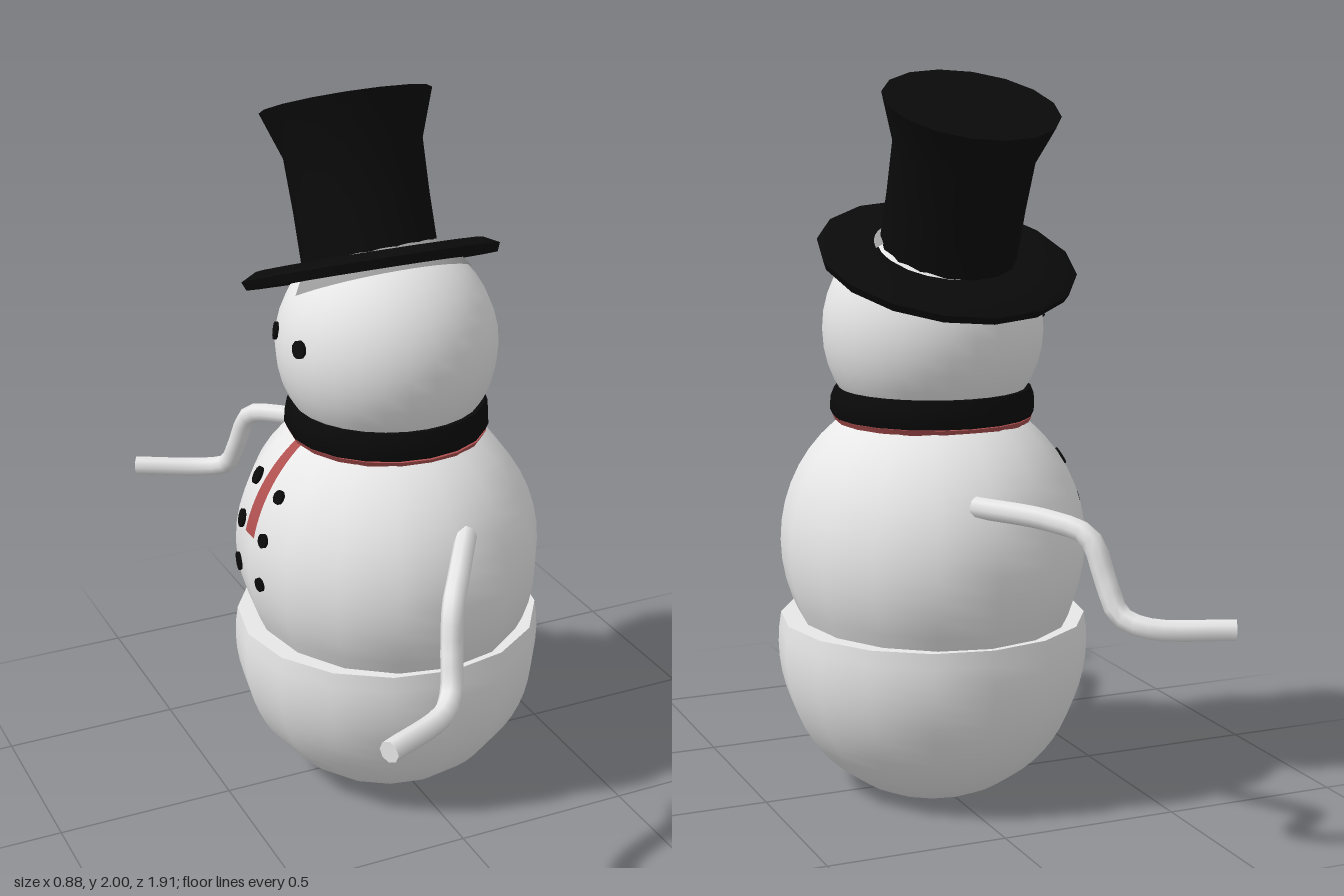
import * as THREE from 'three';
import { toCreasedNormals } from 'three/addons/utils/BufferGeometryUtils.js';

const material = (name, color) => {
  const m = new THREE.MeshStandardMaterial({ color });
  m.name = name;
  return m;
};

export function createModel() {
  const group = new THREE.Group();
  const snow = material('snow white', 0xe7e7e7);
  const black = material('black felt', 0x0a0a0a);
  const red = material('faded red', 0xb05050);
  const grey = material('shade grey', 0x9a9a9a);

  const add = (name, geometry, mat, x = 0, y = 0, z = 0) => {
    const mesh = new THREE.Mesh(geometry, mat);
    mesh.name = name;
    mesh.position.set(x, y, z);
    group.add(mesh);
    return mesh;
  };
  const lathe = (points, segments = 16) => toCreasedNormals(
    new THREE.LatheGeometry(points.map(p => new THREE.Vector2(...p)), segments), 0.6);

  // Closed profile of a ball cut flat between two heights (relative to its centre)
  const cutBall = (radius, height, low, high) => {
    const a0 = Math.asin(low / height), a1 = Math.asin(high / height);
    const points = [[0, low]];
    for (let i = 0; i <= 14; i++) {
      const a = a0 + (a1 - a0) * i / 14;
      points.push([radius * Math.cos(a), height * Math.sin(a)]);
    }
    points.push([0, high]);
    return lathe(points);
  };

  // Snowballs
  add('lowerBall', cutBall(0.435, 0.443, -0.41, 0.085), snow, 0, 0.41, 0);
  const body = { x: 0.42, y: 0.44, z: 0.465, cy: 0.7 };
  add('middleBall', cutBall(body.x, body.y, -0.215, 0.42), snow, 0, body.cy, 0)
    .scale.z = body.z / body.x;
  const head = { x: 0.305, y: 0.305, z: 0.305, cy: 1.3 };
  add('head', new THREE.SphereGeometry(head.x, 28, 20), snow, 0, head.cy, 0);

  // Grey lining showing below the raised side of the hat
  add('hatLining', new THREE.SphereGeometry(0.309, 20, 10, 0.25, Math.PI - 0.5, 0, 1.056),
    grey, 0, head.cy, 0).rotation.x = -0.487;

  // Tilted top hat with a flared crown
  add('topHat', lathe([
    [0, -0.01], [0.345, -0.01], [0.355, 0.014], [0.312, 0.036], [0.187, 0.037],
    [0.187, 0.18], [0.191, 0.325], [0.237, 0.455], [0, 0.455],
  ]), black, -0.01, 1.49, -0.075).rotation.x = -0.372;

  // Scarf: black band, red lower edge and a hanging red end
  add('scarfBand', lathe([
    [0.23, 1.06], [0.275, 1.06], [0.284, 1.08], [0.282, 1.115], [0.272, 1.14], [0.22, 1.14],
  ], 20), black);
  add('scarfEdge', lathe([[0.2, 1.047], [0.268, 1.047], [0.276, 1.062], [0.2, 1.068]], 20), red)
    .scale.z = 1.03;
  add('scarfEnd', new THREE.SphereGeometry(1.015, 3, 14, -0.065, 0.13, 0.61, 0.73),
    red, 0, body.cy, 0).scale.set(body.x, body.y, body.z);

  // Thin discs resting on the face side (-x) of a ball
  const disc = (name, ball, y, z, radius) => {
    const dy = y - ball.cy;
    const x = -ball.x * Math.sqrt(1 - (dy / ball.y) ** 2 - (z / ball.z) ** 2);
    const normal = new THREE.Vector3(x / ball.x ** 2, dy / ball.y ** 2, z / ball.z ** 2).normalize();
    const mesh = add(name, new THREE.CylinderGeometry(radius, radius, 0.009, 10), black, x, y, z);
    mesh.position.addScaledVector(normal, 0.002);
    mesh.quaternion.setFromUnitVectors(new THREE.Vector3(0, 1, 0), normal);
  };
  for (const y of [0.93, 0.81, 0.68]) {
    disc('leftButton', body, y, -0.09, 0.026);
    disc('rightButton', body, y, 0.07, 0.02);
  }
  for (const z of [-0.08, 0.08]) disc('eye', head, 1.35, z, 0.025);

  // Bent arms with closed ends
  for (const side of [1, -1]) {
    const path = new THREE.CatmullRomCurve3([
      [0.045, 0.88, 0.4], [-0.08, 0.873, 0.6], [-0.14, 0.845, 0.69], [-0.165, 0.74, 0.735],
      [-0.185, 0.66, 0.775], [-0.235, 0.635, 0.83], [-0.43, 0.635, 0.93],
    ].map(([x, y, z]) => new THREE.Vector3(x, y, z * side)));
    add('arm', new THREE.TubeGeometry(path, 24, 0.029, 8), snow);
    for (const t of [0, 1]) {
      const p = path.getPoint(t);
      const out = path.getTangent(t).multiplyScalar(t ? 1 : -1);
      add('armEnd', new THREE.CircleGeometry(0.029, 8), snow, p.x, p.y, p.z)
        .quaternion.setFromUnitVectors(new THREE.Vector3(0, 0, 1), out);
    }
  }
  return group;
}
